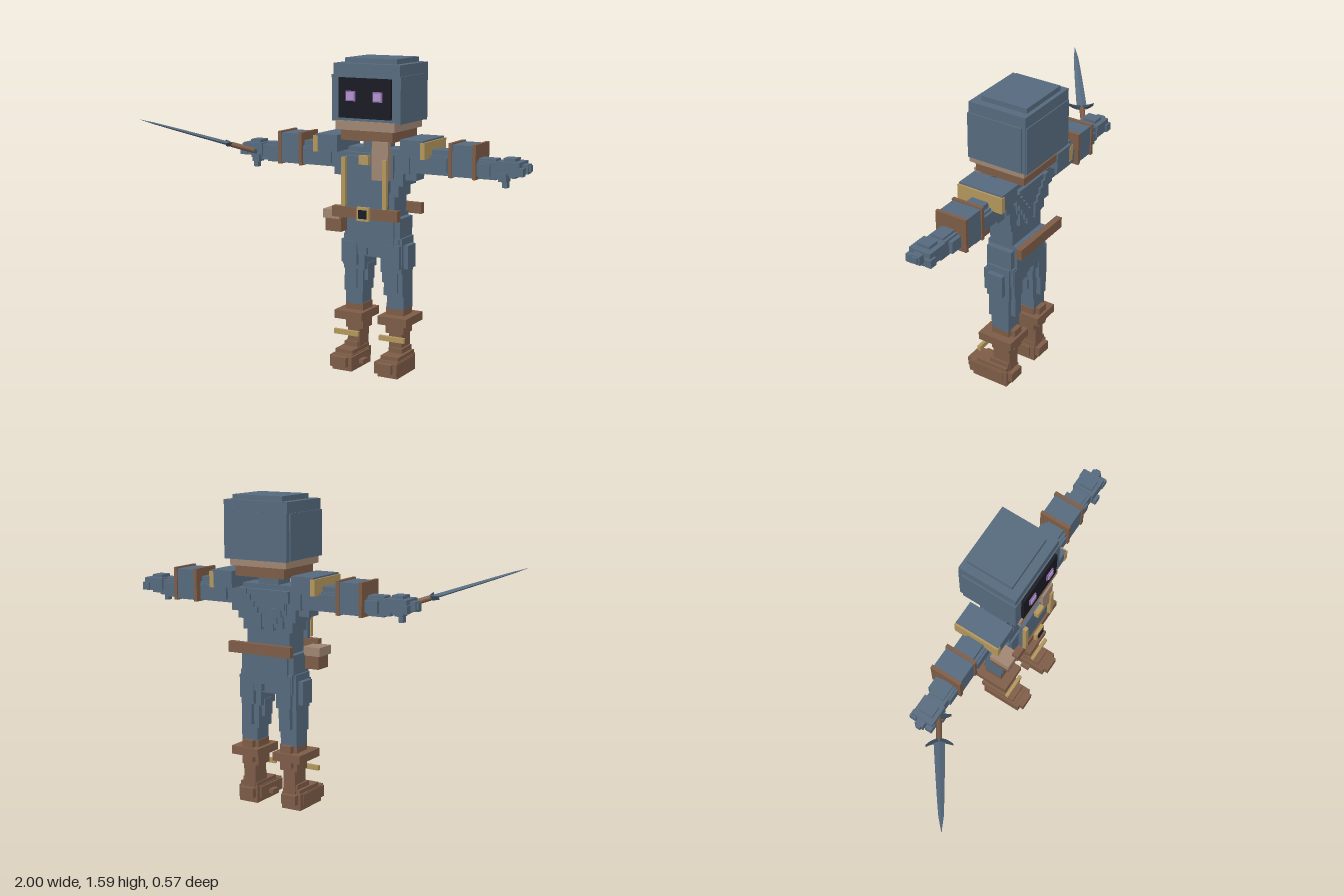
import * as THREE from 'three';

const mat = (name, color) => {
  const m = new THREE.MeshStandardMaterial({ color });
  m.name = name;
  return m;
};

export function createModel() {
  const cloth = mat('slateCloth', 0x566a7e), leather = mat('brownLeather', 0x7d5c47);
  const scarf = mat('tanScarf', 0x9f8572), gold = mat('brass', 0xb3965c);
  const dark = mat('darkVoid', 0x191922), eye = mat('violet', 0xb292d2);
  const eyeRim = mat('deepViolet', 0x86689f), steel = mat('darkSteel', 0x3c4b5a);

  const model = new THREE.Group();
  model.name = 'hoodedSwordsman';
  const body = new THREE.Group(); // body axis sits beside the origin, as the sword reaches far out
  body.name = 'body';
  body.position.x = 0.19;
  model.add(body);

  // Box from its limits: x0, x1, y0, y1, z0, z1
  const box = (name, m, [x0, x1, y0, y1, z0, z1], parent = body) => {
    const mesh = new THREE.Mesh(new THREE.BoxGeometry(x1 - x0, y1 - y0, z1 - z0), m);
    mesh.position.set((x0 + x1) / 2, (y0 + y1) / 2, (z0 + z1) / 2);
    mesh.name = name;
    parent.add(mesh);
    return mesh;
  };
  // Box centred on the body axis, with half its width
  const mid = (name, m, h, ...r) => box(name, m, [-h, h, ...r]);
  // Mirrored pair
  const pair = (name, m, [x0, x1, ...r]) => {
    box(name + 'Left', m, [x0, x1, ...r]);
    box(name + 'Right', m, [-x1, -x0, ...r]);
  };
  const pairs = (name, m, list) => list.forEach((b) => pair(name, m, b));

  // Hood
  mid('hood', cloth, 0.183, 1.28, 1.565, -0.285, 0.025);
  mid('hoodSides', cloth, 0.19, 1.28, 1.51, -0.265, 0.03);
  mid('hoodBack', cloth, 0.18, 1.275, 1.51, -0.29, -0.265);
  mid('hoodTop', cloth, 0.143, 1.565, 1.59, -0.265, -0.02);
  mid('face', dark, 0.143, 1.3, 1.497, 0.03, 0.045);
  for (const s of [-1, 1]) {
    const x = s * 0.074;
    box('eyeRim', eyeRim, [x - 0.026, x + 0.026, 1.384, 1.434, 0.045, 0.052]);
    box('eye', eye, [x - 0.02, x + 0.02, 1.39, 1.428, 0.052, 0.057]);
  }

  // Scarf
  mid('scarfUpper', scarf, 0.163, 1.24, 1.285, -0.265, 0.04);
  mid('scarfLower', leather, 0.143, 1.187, 1.24, -0.25, 0.02);
  box('scarfTail', scarf, [0.04, 0.128, 1.0, 1.19, 0.005, 0.04]);

  // Torso in stepped layers: half width, y0, y1, z0, z1
  [
    [0.06, 1.12, 1.2, -0.17, -0.06],
    [0.145, 1.1, 1.145, -0.18, -0.06],
    [0.2, 1.03, 1.12, -0.19, -0.05],
    [0.12, 1.0, 1.12, -0.2, -0.035],
    [0.17, 0.965, 1.03, -0.19, -0.045],
    [0.145, 0.91, 0.965, -0.18, -0.045],
    [0.1, 0.93, 1.03, -0.2, -0.035],
    [0.125, 0.79, 0.91, -0.175, -0.045],
    [0.155, 0.68, 0.8, -0.185, -0.045],
    [0.125, 0.64, 0.82, -0.2, -0.035],
    [0.05, 0.59, 0.66, -0.17, -0.06],
  ].forEach((l) => mid('torso', cloth, ...l));
  // Steps along the spine and flanks
  for (let i = 0; i < 5; i++) {
    pair('backStep', cloth, [0.02 + i * 0.022, 0.05 + i * 0.022, 0.92 + i * 0.035, 1.0 + i * 0.03, -0.21, -0.16]);
  }

  // Vest front and trims
  mid('vestPanel', cloth, 0.12, 0.855, 1.11, 0.005, 0.03);
  pair('vestTrim', gold, [0.103, 0.125, 0.86, 1.105, 0.03, 0.05]);
  box('collarClasp', gold, [-0.025, 0.028, 1.075, 1.12, 0.03, 0.055]);

  // Belt, buckle and pouch
  mid('beltFront', leather, 0.182, 0.8, 0.855, 0.005, 0.04);
  mid('beltBack', leather, 0.182, 0.8, 0.855, -0.262, -0.23);
  mid('buckle', gold, 0.034, 0.793, 0.862, 0.04, 0.058);
  mid('buckleHole', dark, 0.022, 0.806, 0.849, 0.058, 0.064);
  box('pouch', leather, [-0.235, -0.145, 0.718, 0.79, -0.08, 0.015]);
  box('pouchLid', scarf, [-0.245, -0.15, 0.785, 0.83, -0.085, 0.025]);

  // Shoulder pads
  pair('shoulderPad', cloth, [0.175, 0.3, 1.12, 1.205, -0.237, 0.005]);
  pair('shoulderTrim', gold, [0.285, 0.31, 1.115, 1.197, -0.24, 0.008]);

  // Arms
  pairs('arm', cloth, [
    [0.18, 0.42, 1.035, 1.13, -0.18, -0.06],
    [0.2, 0.41, 1.05, 1.155, -0.165, -0.075],
    [0.24, 0.4, 1.05, 1.12, -0.195, -0.05],
    [0.15, 0.23, 0.995, 1.06, -0.16, -0.07],
    [0.54, 0.68, 1.04, 1.12, -0.165, -0.07],
    [0.54, 0.64, 1.03, 1.13, -0.15, -0.085],
    [0.55, 0.62, 1.05, 1.11, -0.185, -0.06],
  ]);
  pair('armBand', cloth, [0.418, 0.545, 1.035, 1.19, -0.205, -0.052]);
  pair('bandInnerEdge', leather, [0.41, 0.428, 1.028, 1.197, -0.212, -0.046]);
  pair('bandOuterEdge', leather, [0.535, 0.553, 1.028, 1.197, -0.212, -0.046]);
  pairs('hand', cloth, [
    [0.66, 0.77, 1.06, 1.125, -0.175, -0.06],
    [0.68, 0.74, 1.045, 1.14, -0.15, -0.08],
    [0.67, 0.71, 1.03, 1.07, -0.1, -0.045],
    [0.685, 0.71, 1.0, 1.04, -0.09, -0.06],
    [0.75, 0.8, 1.07, 1.115, -0.14, -0.095],
    [0.76, 0.81, 1.08, 1.11, -0.13, -0.105],
    [0.75, 0.79, 1.06, 1.1, -0.09, -0.055],
    [0.74, 0.78, 1.06, 1.1, -0.185, -0.15],
  ]);

  // Legs
  pairs('leg', cloth, [
    [0.045, 0.165, 0.52, 0.7, -0.18, -0.05],
    [0.03, 0.15, 0.6, 0.7, -0.195, -0.04],
    [0.07, 0.19, 0.545, 0.665, -0.155, -0.07],
    [0.08, 0.16, 0.545, 0.665, -0.11, -0.03],
    [0.075, 0.145, 0.53, 0.69, -0.2, -0.12],
    [0.06, 0.165, 0.4, 0.56, -0.175, -0.06],
    [0.09, 0.14, 0.42, 0.55, -0.2, -0.05],
    [0.07, 0.165, 0.33, 0.44, -0.175, -0.075],
    [0.04, 0.08, 0.46, 0.55, -0.15, -0.08],
  ]);

  // Boots
  pairs('boot', leather, [
    [0.065, 0.165, 0.2, 0.335, -0.175, -0.075],
    [0.085, 0.145, 0.22, 0.335, -0.2, -0.08],
    [0.085, 0.155, 0.08, 0.22, -0.175, -0.075],
  ]);
  pair('bootCuff', leather, [0.045, 0.205, 0.255, 0.298, -0.213, -0.022]);
  pair('bootStrap', gold, [0.06, 0.2, 0.177, 0.202, -0.026, -0.008]);
  pairs('foot', leather, [
    [0.075, 0.185, 0.0, 0.085, -0.175, 0.03],
    [0.065, 0.19, 0.02, 0.08, -0.15, 0.05],
    [0.085, 0.17, 0.03, 0.08, -0.2, 0.073],
    [0.08, 0.18, 0.0, 0.105, -0.17, 0.01],
    [0.09, 0.165, 0.09, 0.13, -0.17, -0.06],
    [0.04, 0.07, 0.03, 0.052, -0.08, -0.03],
  ]);

  // Sword, built along +y from pommel to tip, then aimed out of the right hand
  const sword = new THREE.Group();
  sword.name = 'sword';
  const pommel = new THREE.Vector3(-0.5, 1.075, -0.08);
  const tip = new THREE.Vector3(-1, 1.255, 0.285);
  const length = tip.distanceTo(pommel);
  const up = tip.clone().sub(pommel).normalize();
  const side = new THREE.Vector3(-up.z, 0, up.x).normalize().negate();
  sword.quaternion.setFromRotationMatrix(
    new THREE.Matrix4().makeBasis(side, up, side.clone().cross(up)));
  sword.position.copy(pommel);
  model.add(sword);

  // Blade: diamond section that narrows to the tip
  const bladeGeo = new THREE.CylinderGeometry(1, 1, 1, 4, 6).toNonIndexed();
  const p = bladeGeo.attributes.position;
  const base = 0.15;
  for (let i = 0; i < p.count; i++) {
    const t = p.getY(i) + 0.5;
    const w = 0.027 * Math.pow(Math.max(1 - t, 0), 0.45);
    p.setXYZ(i, p.getX(i) * w, base + t * (length - base), p.getZ(i) * w * 0.4);
  }
  bladeGeo.computeVertexNormals();
  const blade = new THREE.Mesh(bladeGeo, cloth);
  blade.name = 'blade';
  sword.add(blade);

  const grip = new THREE.Mesh(new THREE.CylinderGeometry(0.014, 0.014, 0.14, 8), leather);
  grip.name = 'grip';
  grip.position.y = 0.08;
  sword.add(grip);

  // Crescent guards at both ends of the grip
  const crescent = (name, y, half, bend) => {
    const s = new THREE.Shape();
    s.moveTo(-half, bend);
    s.quadraticCurveTo(0, -bend, half, bend);
    s.quadraticCurveTo(0, -bend - 0.035, -half, bend);
    const g = new THREE.ExtrudeGeometry(s, { depth: 0.018, bevelEnabled: false, curveSegments: 8 });
    const m = new THREE.Mesh(g.translate(0, 0, -0.009), steel);
    m.name = name;
    m.position.y = y;
    sword.add(m);
  };
  crescent('crossGuard', 0.165, 0.065, 0.016);
  crescent('pommelGuard', 0.03, 0.06, -0.014);

  return model;
}
